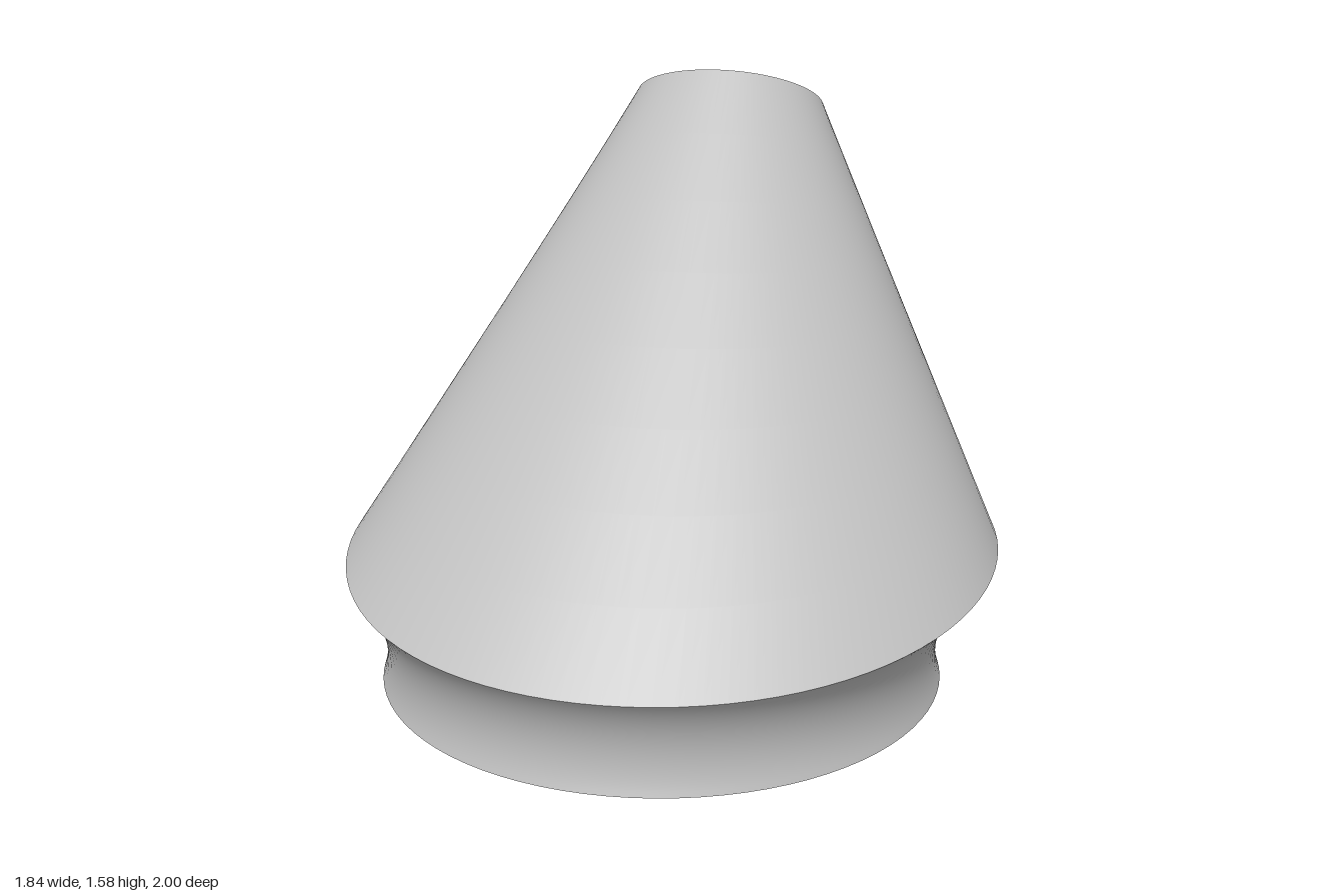
import * as THREE from 'three';

const SIDES = 96;

// Skin of closed loops: point(t, angle) with t running 0..1 over the rows
function loft(rows, point) {
  const pos = [], index = [];
  for (let r = 0; r <= rows; r++) {
    for (let j = 0; j < SIDES; j++) {
      pos.push(...point(r / rows, (j / SIDES) * Math.PI * 2).toArray());
    }
  }
  for (let r = 0; r < rows; r++) {
    for (let j = 0; j < SIDES; j++) {
      const a = r * SIDES + j, b = r * SIDES + (j + 1) % SIDES;
      index.push(a, a + SIDES, b, b, a + SIDES, b + SIDES);
    }
  }
  const geo = new THREE.BufferGeometry();
  geo.setAttribute('position', new THREE.Float32BufferAttribute(pos, 3));
  geo.setIndex(index);
  geo.computeVertexNormals();
  return geo;
}

// Round foot with a hollow quarter-round profile
const foot = new THREE.Vector3(-0.05, 0, 0.17);
const COVE_R = 0.265, COVE_AXIS = 1.028, COVE_Y = 0.09;
const coveStart = Math.asin(-COVE_Y / COVE_R);
const footRadius = COVE_AXIS - COVE_R * Math.cos(coveStart);

// Where the skirt meets the cove, in plan: a slightly skewed ellipse
function rimPlan(a) {
  const x = 0.92 * Math.cos(a);
  const z = 0.04 - 0.035 * Math.cos(a) + 0.96 * Math.sin(a);
  const dx = x - foot.x, dz = z - foot.z, rho = Math.hypot(dx, dz);
  const end = Math.acos(THREE.MathUtils.clamp((COVE_AXIS - rho) / COVE_R, -1, 1));
  return { dx: dx / rho, dz: dz / rho, end };
}

function covePoint(t, a) {
  const { dx, dz, end } = rimPlan(a);
  const s = coveStart + (end - coveStart) * t;
  const rad = COVE_AXIS - COVE_R * Math.cos(s);
  return new THREE.Vector3(foot.x + dx * rad, COVE_Y + COVE_R * Math.sin(s), foot.z + dz * rad);
}

// Tilted mouth at the top
const mouth = new THREE.Vector3(0.289, 1.4625, -0.742);
const mouthNormal = new THREE.Vector3(0.175, 1, -0.437).normalize();
const DISH_DEPTH = 0.1;

function mouthPoint(a) {
  const c = Math.cos(a), s = Math.sin(a);
  return new THREE.Vector3(0.286 * c, -0.037 * c + 0.112 * s, 0.03 * c + 0.256 * s).add(mouth);
}

export function createModel() {
  const group = new THREE.Group();
  const grey = new THREE.MeshStandardMaterial({ color: 0xbfbfbf });
  grey.name = 'plain grey';
  const add = (name, geo) => {
    const mesh = new THREE.Mesh(geo, grey);
    mesh.name = name;
    group.add(mesh);
  };

  // Flat underside
  add('underside', loft(1, (t, a) => {
    const { dx, dz } = rimPlan(a);
    return new THREE.Vector3(foot.x + dx * footRadius * t, 0, foot.z + dz * footRadius * t);
  }));

  // Concave foot
  add('foot', loft(20, covePoint));

  // Leaning cone from the foot's rim to the mouth
  add('leaningCone', loft(8, (t, a) => covePoint(1, a).lerp(mouthPoint(a), t)));

  // Shallow hollow in the mouth
  add('topDish', loft(14, (t, a) => {
    const k = 1 - t;
    return mouth.clone().lerp(mouthPoint(a), k)
      .addScaledVector(mouthNormal, -DISH_DEPTH * (1 - k * k));
  }));

  return group;
}
